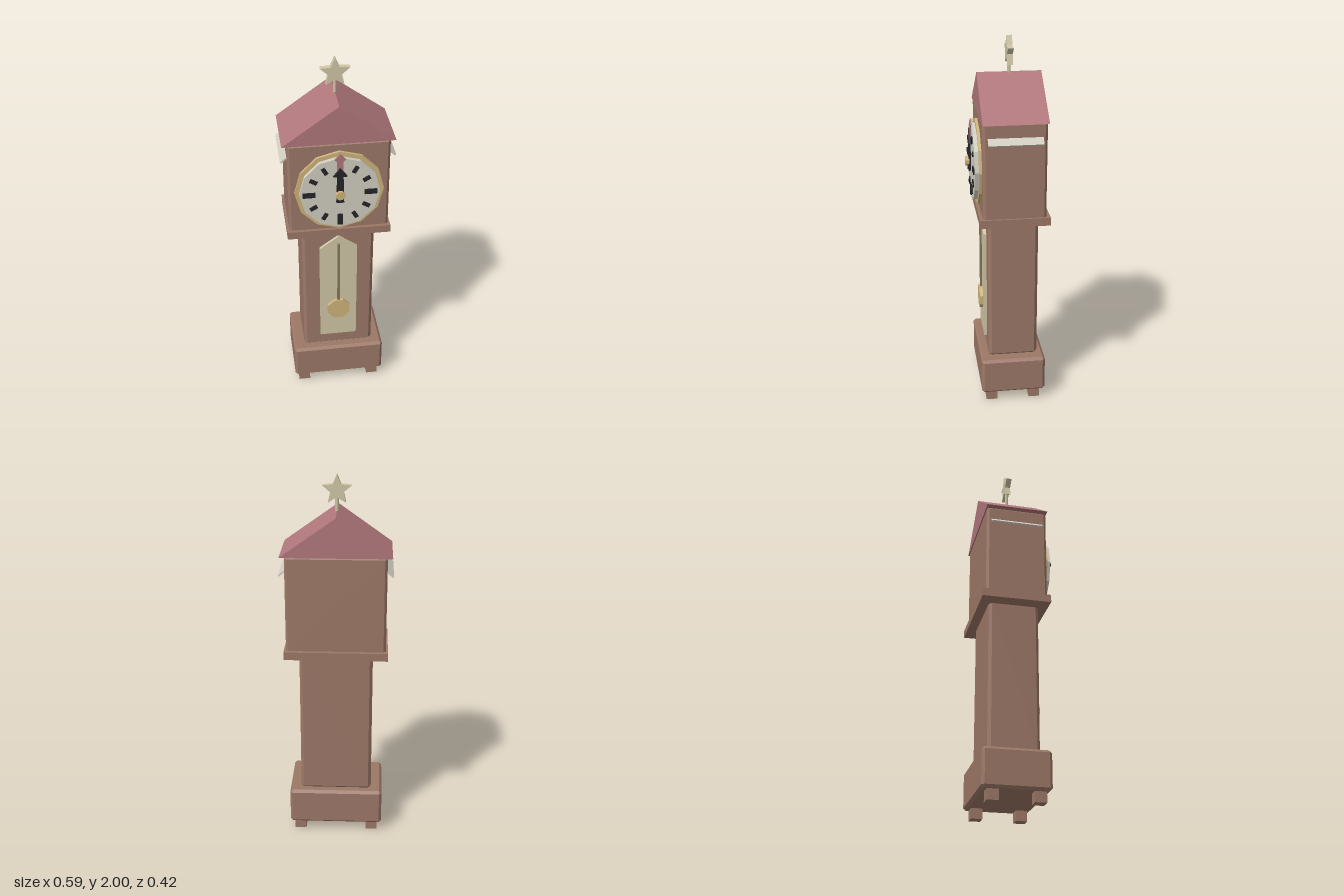
import * as THREE from 'three';
import { ConvexGeometry } from 'three/addons/geometries/ConvexGeometry.js';

const paint = (name, color) => {
  const m = new THREE.MeshStandardMaterial({ color });
  m.name = name;
  return m;
};

export function createModel() {
  const wood = paint('brown wood', 0x9c7867);
  const roofRed = paint('dusty red', 0xb0777b);
  const gold = paint('gold', 0xcfb47c);
  const cream = paint('pale cream', 0xd0c7a6);
  const white = paint('off white', 0xd2cec1);
  const black = paint('black', 0x252527);
  const bronze = paint('dark bronze', 0x87775a);

  const clock = new THREE.Group();
  clock.name = 'longcaseClock';

  const add = (name, geometry, material, x = 0, y = 0, z = 0, parent = clock) => {
    const mesh = new THREE.Mesh(geometry, material);
    mesh.name = name;
    mesh.position.set(x, y, z);
    parent.add(mesh);
    return mesh;
  };
  const box = (w, h, d) => new THREE.BoxGeometry(w, h, d);

  // Box with every edge chamfered by c
  const chamferBox = (w, h, d, c) => {
    const points = [];
    for (const sx of [-1, 1]) for (const sy of [-1, 1]) for (const sz of [-1, 1]) {
      const [x, y, z] = [w / 2, h / 2, d / 2];
      points.push(
        new THREE.Vector3(sx * x, sy * (y - c), sz * (z - c)),
        new THREE.Vector3(sx * (x - c), sy * y, sz * (z - c)),
        new THREE.Vector3(sx * (x - c), sy * (y - c), sz * z));
    }
    return new ConvexGeometry(points);
  };

  // Flat outline given a thickness, starting at z = 0
  const plate = (points, depth) => new THREE.ExtrudeGeometry(
    new THREE.Shape(points.map(([x, y]) => new THREE.Vector2(x, y))),
    { depth, bevelEnabled: false });

  // Faceted disc facing +z
  const disc = (r, depth, sides, turn = 0) =>
    plate(Array.from({ length: sides }, (_, i) => {
      const a = (i / sides) * Math.PI * 2 + turn;
      return [r * Math.cos(a), r * Math.sin(a)];
    }), depth);

  // Feet and case
  for (const x of [-0.201, 0.201])
    for (const z of [0.098, -0.14])
      add('foot', box(0.064, 0.065, 0.06), wood, x, 0.0325, z);
  add('base', chamferBox(0.512, 0.204, 0.352, 0.014), wood, 0, 0.157, -0.022);
  add('trunk', chamferBox(0.39, 0.83, 0.268, 0.016), wood, 0, 0.67, -0.025);
  add('ledge', box(0.546, 0.043, 0.368), wood, 0, 1.082, -0.026);
  add('hood', chamferBox(0.524, 0.53, 0.33, 0.013), wood, 0, 1.35, -0.024);

  // Gable roof
  add('roof', plate([[-0.288, 1.61], [0.288, 1.61], [0, 1.815]], 0.336), roofRed, 0, 0, -0.193);

  // Sloping slats on the sides of the hood
  for (const s of [-1, 1]) {
    const slat = add('sideSlat', box(0.05, 0.008, 0.281), white, s * 0.274, 1.522, -0.0255);
    slat.rotation.z = -s * 0.7;
  }

  // Star finial
  add('finialPost', new THREE.CylinderGeometry(0.009, 0.009, 0.09, 8), cream, 0, 1.84, -0.025);
  const star = Array.from({ length: 10 }, (_, i) => {
    const a = Math.PI / 2 + (i * Math.PI) / 5;
    const r = i % 2 ? 0.036 : 0.079;
    return [r * Math.cos(a), r * Math.sin(a)];
  });
  add('finialStar', plate(star, 0.03), cream, 0, 1.921, -0.04);

  // Clock face
  const dial = new THREE.Group();
  dial.name = 'dial';
  dial.position.set(0, 1.341, 0);
  clock.add(dial);
  add('dialRim', disc(0.231, 0.02, 12), gold, 0, 0, 0.135, dial);
  add('dialPlate', disc(0.208, 0.022, 12), white, 0, 0, 0.154, dial);

  // Hour marks, with a red marker at twelve
  for (let i = 1; i < 12; i++) {
    const a = (i * Math.PI) / 6;
    const big = i % 3 === 0;
    const r = big ? 0.159 : 0.157;
    const mark = add('hourMark', big ? box(0.028, 0.064, 0.008) : box(0.021, 0.04, 0.008), black,
      r * Math.sin(a), r * Math.cos(a), 0.179, dial);
    mark.rotation.z = -a;
  }
  add('twelveMark', box(0.03, 0.09, 0.008), roofRed, 0, 0.165, 0.178, dial);
  add('twelveDiamond', plate([[0, -0.03], [0.028, 0], [0, 0.03], [-0.028, 0]], 0.01),
    roofRed, 0, 0.2, 0.172, dial);

  // Hands and hub
  add('hands', plate([[-0.02, -0.05], [0.02, -0.05], [0.016, 0.105], [0.036, 0.105],
    [0, 0.155], [-0.036, 0.105], [-0.016, 0.105]], 0.012), black, 0, 0, 0.179, dial);
  add('hub', disc(0.025, 0.02, 8, Math.PI / 8), gold, 0, 0, 0.187, dial);

  // Pendulum window and pendulum
  add('window', plate([[-0.102, 0.34], [0.102, 0.34], [0.102, 0.955], [0, 1.03], [-0.102, 0.955]], 0.02),
    cream, 0, 0, 0.105);
  add('pendulumRod', box(0.013, 0.41, 0.014), bronze, 0, 0.78, 0.13);
  add('pendulumBob', disc(0.066, 0.02, 8, Math.PI / 8), gold, 0, 0.538, 0.123);

  return clock;
}
